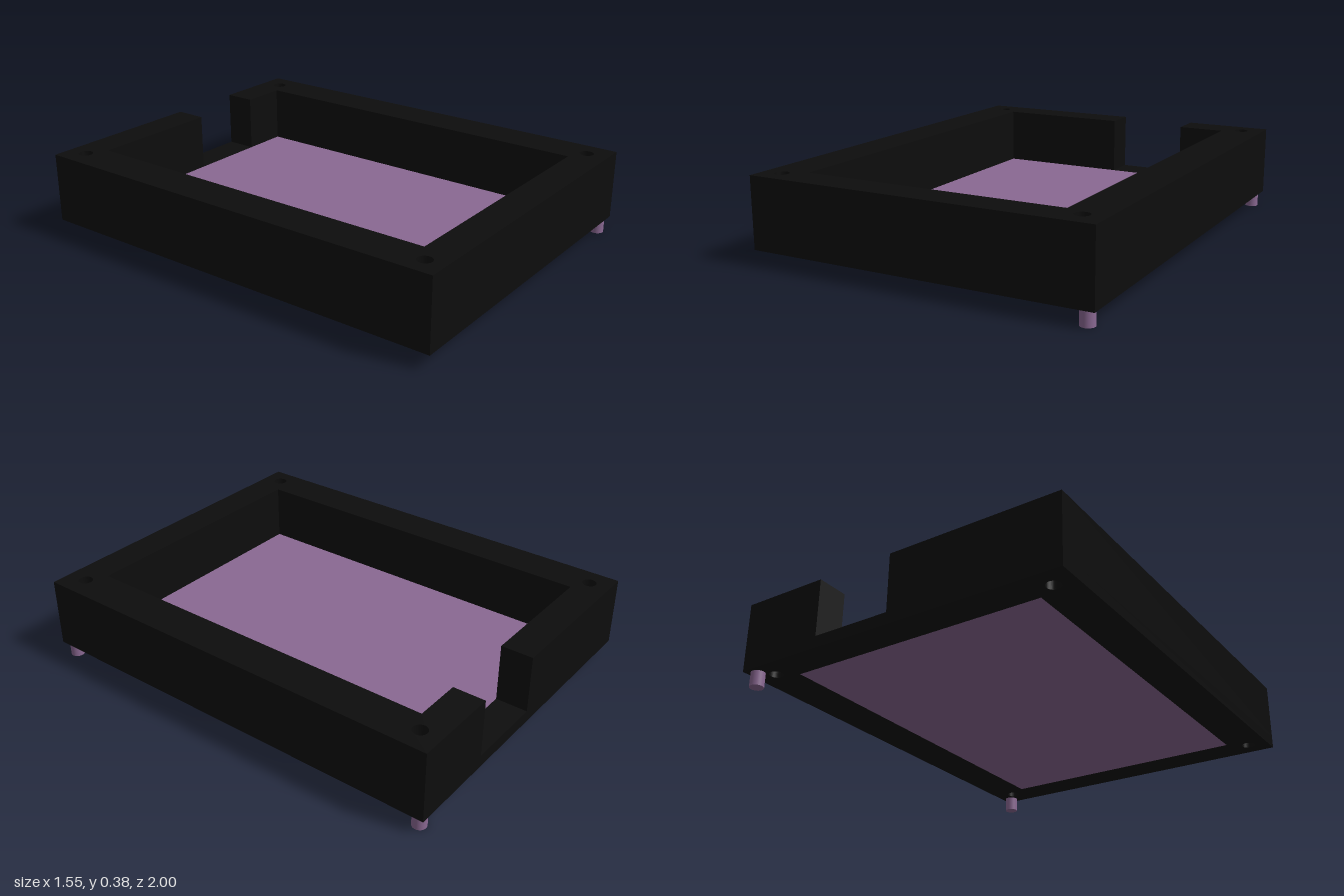
import * as THREE from 'three';

const black = new THREE.MeshStandardMaterial({ color: 0x0d0d0d });
const purple = new THREE.MeshStandardMaterial({ color: 0x8a6892 });

// Case limits: outer edge, inner opening, cable notch, heights
const OUT = { x0: -0.78, x1: 0.775, z0: -1, z1: 1 };
const IN = { x0: -0.6, x1: 0.59, z0: -0.855, z1: 0.85 };
const NOTCH = { x0: 0.01, x1: 0.375 };
const BOTTOM = 0.067, FLOOR = 0.122, TOP = 0.385;
const HOLES = [[-0.685, -0.905], [0.675, -0.905], [-0.69, 0.91], [0.675, 0.9]];

const toPoints = (list) => list.map(([x, z]) => new THREE.Vector2(x, z));
const rectangle = (r) => toPoints([[r.x0, r.z0], [r.x1, r.z0], [r.x1, r.z1], [r.x0, r.z1]]);

// Extrudes an x/z plan between two heights, with the screw holes cut through
function slab(name, shape, y0, y1) {
  for (const [x, z] of HOLES) {
    shape.holes.push(new THREE.Path().absarc(x, z, 0.032, 0, Math.PI * 2, true));
  }
  const geometry = new THREE.ExtrudeGeometry(shape, {
    depth: y1 - y0, bevelEnabled: false, curveSegments: 24,
  });
  geometry.rotateX(Math.PI / 2).translate(0, y1, 0);
  const mesh = new THREE.Mesh(geometry, black);
  mesh.name = name;
  return mesh;
}

export function createModel() {
  const model = new THREE.Group();
  model.name = 'openCase';

  // Closed ring around the floor panel
  const ring = new THREE.Shape(rectangle(OUT));
  ring.holes.push(new THREE.Path(rectangle(IN).reverse()));
  model.add(slab('baseRing', ring, BOTTOM, FLOOR));

  // Walls, interrupted by the notch in the back
  const walls = new THREE.Shape(toPoints([
    [NOTCH.x1, OUT.z0], [OUT.x1, OUT.z0], [OUT.x1, OUT.z1], [OUT.x0, OUT.z1],
    [OUT.x0, OUT.z0], [NOTCH.x0, OUT.z0], [NOTCH.x0, IN.z0], [IN.x0, IN.z0],
    [IN.x0, IN.z1], [IN.x1, IN.z1], [IN.x1, IN.z0], [NOTCH.x1, IN.z0],
  ]));
  model.add(slab('walls', walls, FLOOR, TOP));

  // Floor panel filling the ring
  const panel = new THREE.Mesh(
    new THREE.BoxGeometry(IN.x1 - IN.x0, FLOOR - BOTTOM, IN.z1 - IN.z0), purple);
  panel.position.set((IN.x0 + IN.x1) / 2, (BOTTOM + FLOOR) / 2, (IN.z0 + IN.z1) / 2);
  panel.name = 'floorPanel';
  model.add(panel);

  // Two feet under the left side only
  for (const [name, z] of [['frontFoot', 0.96], ['backFoot', -0.957]]) {
    const foot = new THREE.Mesh(new THREE.CylinderGeometry(0.031, 0.031, BOTTOM, 32), purple);
    foot.position.set(0.73, BOTTOM / 2, z);
    foot.name = name;
    model.add(foot);
  }
  return model;
}
